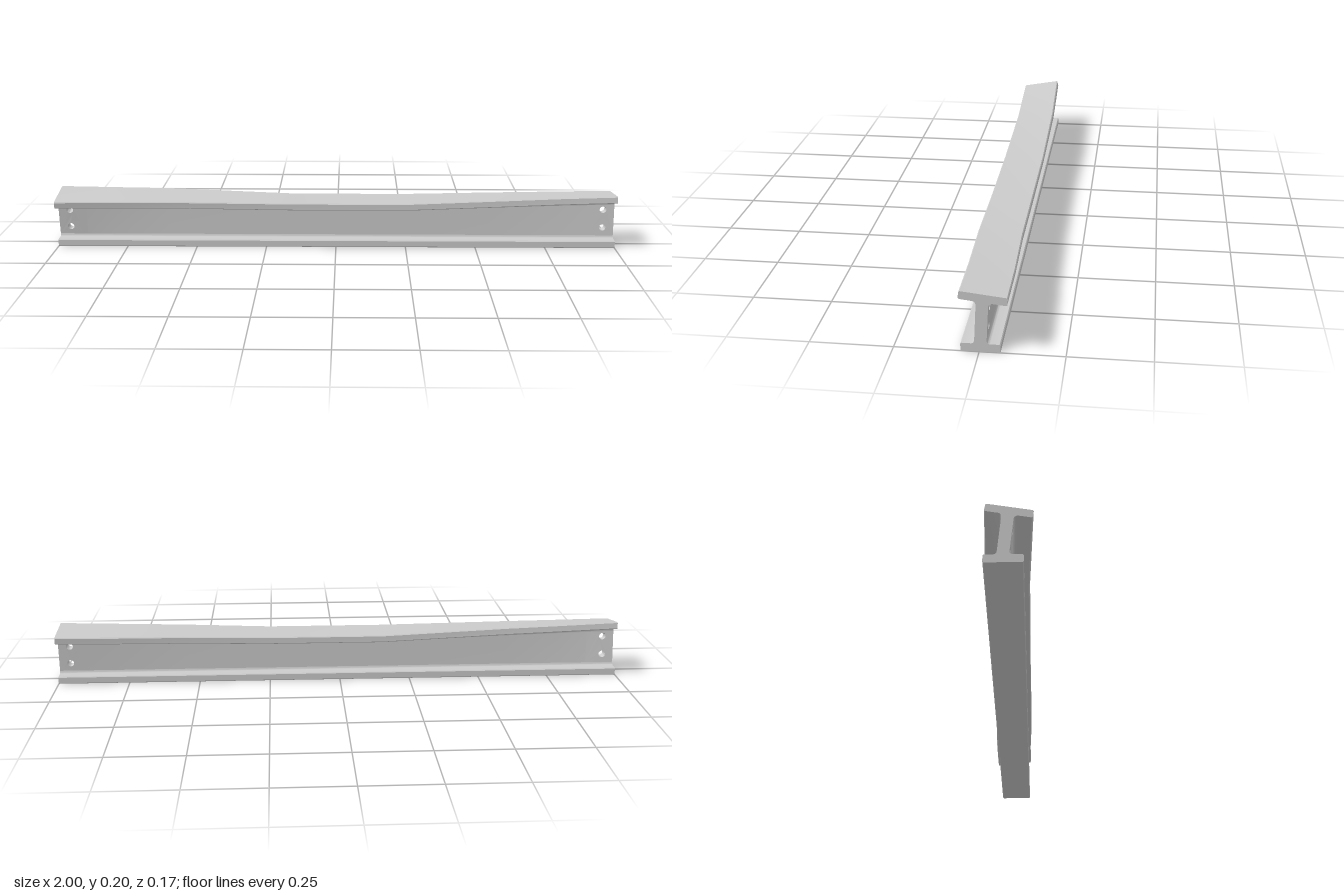
import * as THREE from 'three';
import { toCreasedNormals } from 'three/addons/utils/BufferGeometryUtils.js';

const MID = -0.004;          // z of the beam's middle plane
const HALF_WEB = 0.018;
const WEB_LOW = 0.036, WEB_TOP = 0.128;
const PANEL = 0.9;           // drilled web panels run from here to the ends

// Bend along the beam: x, lift of the top, sideways shift, twist in degrees
const KEYS = [
  [-1, 0.0195, 0.012, 10],
  [-0.8, 0.016, 0.006, 8],
  [-0.6, 0.013, 0, 6],
  [-0.15, 0, 0, 0],
  [0.25, 0, 0, 0],
  [0.55, 0.009, 0, -2.5],
  [0.8, 0.015, -0.005, -5],
  [1, 0.0195, -0.0055, -6.3],
];

function bendAt(x) {
  let i = 0;
  while (i < KEYS.length - 2 && x > KEYS[i + 1][0]) i++;
  const a = KEYS[i], b = KEYS[i + 1];
  const t = (x - a[0]) / (b[0] - a[0]);
  return [1, 2, 3].map((k) => a[k] + (b[k] - a[k]) * t);
}

// Foot stays straight, the web leans progressively, the top flange twists fully
function warp(x, y, z) {
  const [lift, shift, twist] = bendAt(x);
  const w = THREE.MathUtils.clamp((y - WEB_LOW) / (WEB_TOP - WEB_LOW), 0, 1);
  const a = THREE.MathUtils.degToRad(twist) * w;
  const py = Math.min(y, WEB_TOP), dy = y - py, dz = z - MID;
  return [
    x,
    py + lift * w + dy * Math.cos(a) - dz * Math.sin(a),
    MID + shift * w + dz * Math.cos(a) + dy * Math.sin(a),
  ];
}

// Sweep a closed (z, y) section along x through the warp
function loft(section, x0, x1, capped) {
  const pts = section.map(([z, y]) => new THREE.Vector2(z, y));
  if (THREE.ShapeUtils.area(pts) > 0) pts.reverse();
  const inner = KEYS.map((k) => k[0]).filter((x) => x > x0 && x < x1);
  const xs = [x0, ...inner, x1];
  const n = pts.length, pos = [], idx = [];
  for (const x of xs) for (const p of pts) pos.push(...warp(x, p.y, p.x));
  for (let i = 0; i < xs.length - 1; i++) {
    for (let j = 0; j < n; j++) {
      const a = i * n + j, b = i * n + ((j + 1) % n);
      idx.push(a, b, a + n, b, b + n, a + n);
    }
  }
  if (capped) {
    const last = (xs.length - 1) * n;
    for (const tri of THREE.ShapeUtils.triangulateShape(pts, [])) {
      let [a, b, c] = tri;
      if (THREE.ShapeUtils.area([pts[a], pts[b], pts[c]]) > 0) [b, c] = [c, b];
      idx.push(last + a, last + b, last + c, a, c, b);
    }
  }
  const g = new THREE.BufferGeometry();
  g.setAttribute('position', new THREE.Float32BufferAttribute(pos, 3));
  g.setIndex(idx);
  return toCreasedNormals(g, 0.5);
}

// Flange with softened edges and fillets into the web.
// outer/inner: y of its far and web-side faces; root: y where the web begins
function flangeSection(halfWidth, outer, inner, root) {
  const s = Math.sign(outer - inner), c = 0.003;
  const r = Math.abs(inner - root);
  const half = [
    [halfWidth - c, outer],
    [halfWidth, outer - s * c],
    [halfWidth, inner + s * c],
    [halfWidth - c, inner],
  ];
  for (let i = 0; i <= 5; i++) {
    const t = (i / 5) * Math.PI / 2;
    half.push([HALF_WEB + r * (1 - Math.sin(t)), root + s * r * Math.cos(t)]);
  }
  const mirrored = half.map(([z, y]) => [-z, y]).reverse();
  return [...half, ...mirrored].map(([z, y]) => [z + MID, y]);
}

// Web plate at one end with two bolt holes
function drilledPanel(side) {
  const xa = Math.min(side * PANEL, side), xb = Math.max(side * PANEL, side);
  const shape = new THREE.Shape();
  shape.moveTo(xa, WEB_LOW).lineTo(xb, WEB_LOW).lineTo(xb, WEB_TOP).lineTo(xa, WEB_TOP).closePath();
  for (const y of [0.06, 0.1135]) {
    const hole = new THREE.Path();
    hole.absellipse(side * 0.96, y, 0.012, 0.01, 0, Math.PI * 2, true);
    shape.holes.push(hole);
  }
  const g = new THREE.ExtrudeGeometry(shape, { depth: 2 * HALF_WEB, bevelEnabled: false, curveSegments: 16 });
  g.translate(0, 0, MID - HALF_WEB);
  const p = g.attributes.position;
  for (let i = 0; i < p.count; i++) p.setXYZ(i, ...warp(p.getX(i), p.getY(i), p.getZ(i)));
  return toCreasedNormals(g, 0.5);
}

export function createModel() {
  const beam = new THREE.Group();
  beam.name = 'bentBeam';
  const steel = new THREE.MeshStandardMaterial({ color: 0xcccccc });
  const add = (name, geometry) => {
    const mesh = new THREE.Mesh(geometry, steel);
    mesh.name = name;
    beam.add(mesh);
  };

  add('topFlange', loft(flangeSection(0.071, 0.165, 0.14, WEB_TOP), -1, 1, true));
  add('bottomFlange', loft(flangeSection(0.0585, 0, 0.026, WEB_LOW), -1, 1, true));

  // Plain web between the drilled ends
  const l = MID - HALF_WEB, r = MID + HALF_WEB;
  add('web', loft([[l, WEB_LOW], [r, WEB_LOW], [r, WEB_TOP], [l, WEB_TOP]], -PANEL, PANEL, false));
  add('leftWebEnd', drilledPanel(1));
  add('rightWebEnd', drilledPanel(-1));

  return beam;
}
